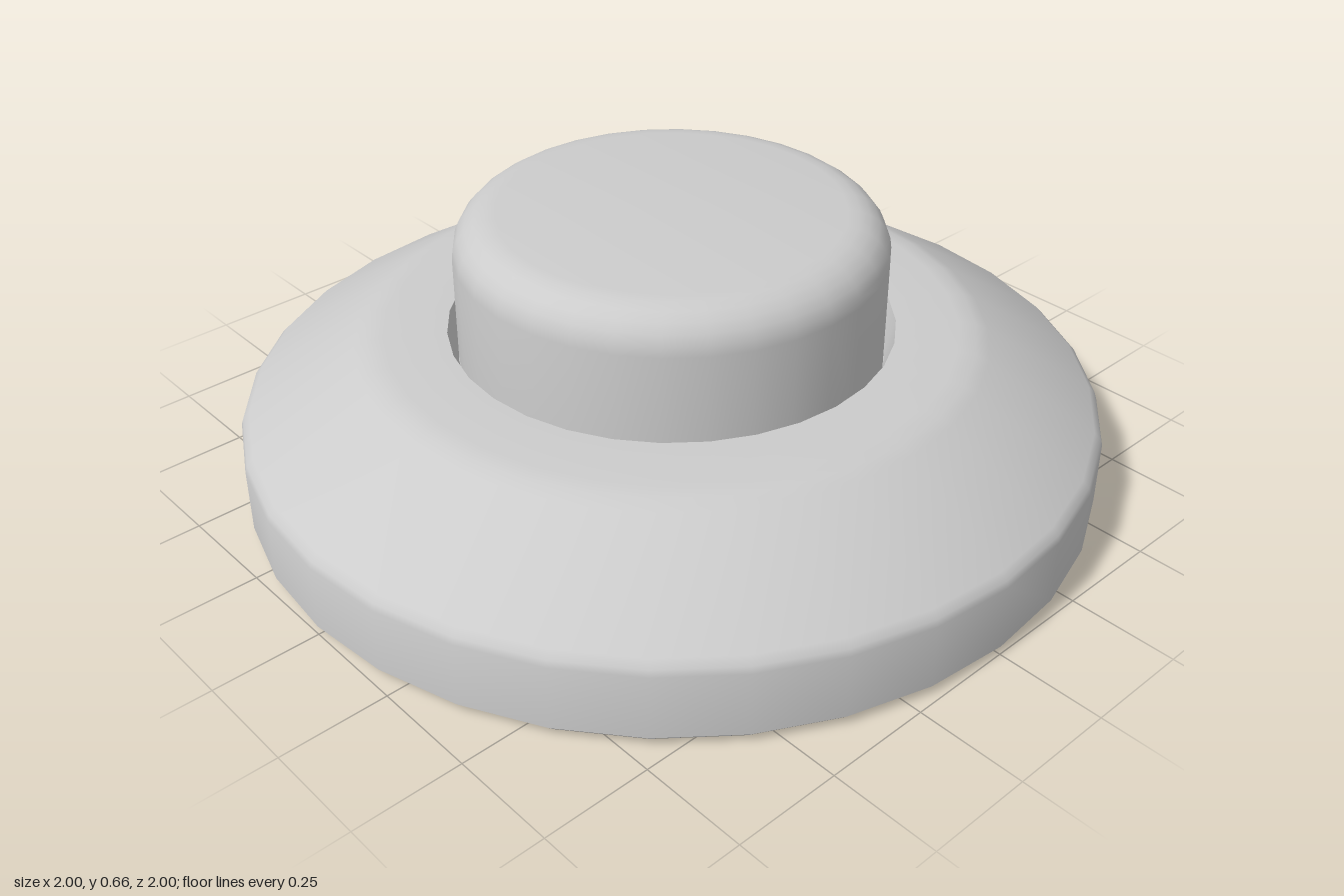
import * as THREE from 'three';
import { toCreasedNormals } from 'three/addons/utils/BufferGeometryUtils.js';

const SIDES = 32;

// Turned part from a [radius, height] profile, smooth except at sharp edges
function turned(name, profile, material) {
  const points = profile.map(([r, y]) => new THREE.Vector2(r, y));
  const geometry = toCreasedNormals(new THREE.LatheGeometry(points, SIDES), 0.75);
  const mesh = new THREE.Mesh(geometry, material);
  mesh.name = name;
  return mesh;
}

export function createModel() {
  const group = new THREE.Group();
  group.name = 'pushButton';
  const grey = new THREE.MeshStandardMaterial({ color: 0xcccccc });

  // Base: flat underside, small chamfer, upright rim, sloped shoulder, tapering socket
  group.add(turned('base', [
    [0, 0], [0.98, 0], [1, 0.021],
    [1, 0.175], [0.995, 0.19], [0.98, 0.205],
    [0.73, 0.357], [0.7, 0.37], [0.66, 0.375],
    [0.517, 0.375], [0.495, 0.3], [0, 0.3],
  ], grey));

  // Button: straight side and rounded upper edge
  const button = [[0, 0.301], [0.494, 0.301]];
  const steps = 6;
  for (let i = 0; i <= steps; i++) {
    const a = (i / steps) * Math.PI / 2;
    button.push([0.394 + 0.1 * Math.cos(a), 0.565 + 0.092 * Math.sin(a)]);
  }
  button.push([0, 0.657]);
  group.add(turned('button', button, grey));

  return group;
}
